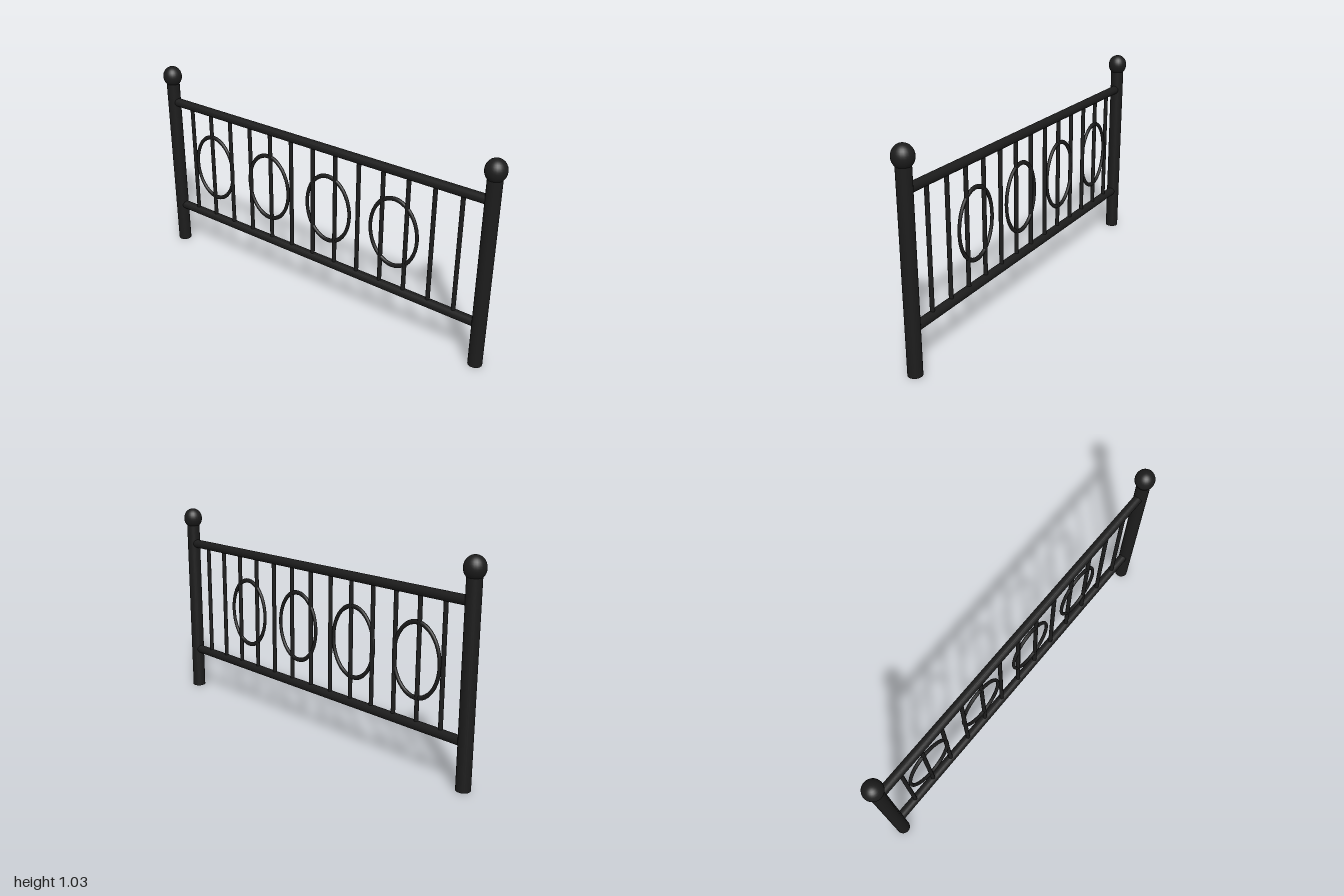
import * as THREE from 'three';

export function createModel() {
  const group = new THREE.Group();
  const blackIron = new THREE.MeshStandardMaterial({ color: 0x1c1c1c });
  blackIron.name = 'blackIron';

  const add = (name, geometry, x, y) => {
    const mesh = new THREE.Mesh(geometry, blackIron);
    mesh.name = name;
    mesh.position.set(x, y, 0);
    group.add(mesh);
    return mesh;
  };

  // End posts with slightly tall ball finials
  const postGeo = new THREE.CylinderGeometry(0.034, 0.034, 0.95, 24);
  const finialGeo = new THREE.SphereGeometry(0.049, 24, 16).scale(1, 1.1, 1);
  for (const [side, x] of [['left', 0.951], ['right', -0.951]]) {
    add(side + 'Post', postGeo, x, 0.475);
    add(side + 'Finial', finialGeo, x, 0.978);
  }

  // Horizontal rails running between the posts
  const railGeo = new THREE.CylinderGeometry(0.0225, 0.0225, 1.9, 20).rotateZ(Math.PI / 2);
  add('topRail', railGeo, 0, 0.838);
  add('bottomRail', railGeo, 0, 0.221);

  // Evenly spaced upright bars
  const barGeo = new THREE.CylinderGeometry(0.0105, 0.0105, 0.617, 12);
  for (let i = 0; i < 13; i++) add('bar' + (i + 1), barGeo, (i - 6) * 0.136, 0.5295);

  // Oval rings, set off centre toward the right post
  const ringGeo = new THREE.TorusGeometry(0.129, 0.0085, 10, 40).scale(1, 1.35, 1);
  for (let i = 0; i < 4; i++) add('ovalRing' + (i + 1), ringGeo, -0.668 + i * 0.381, 0.523);

  return group;
}
